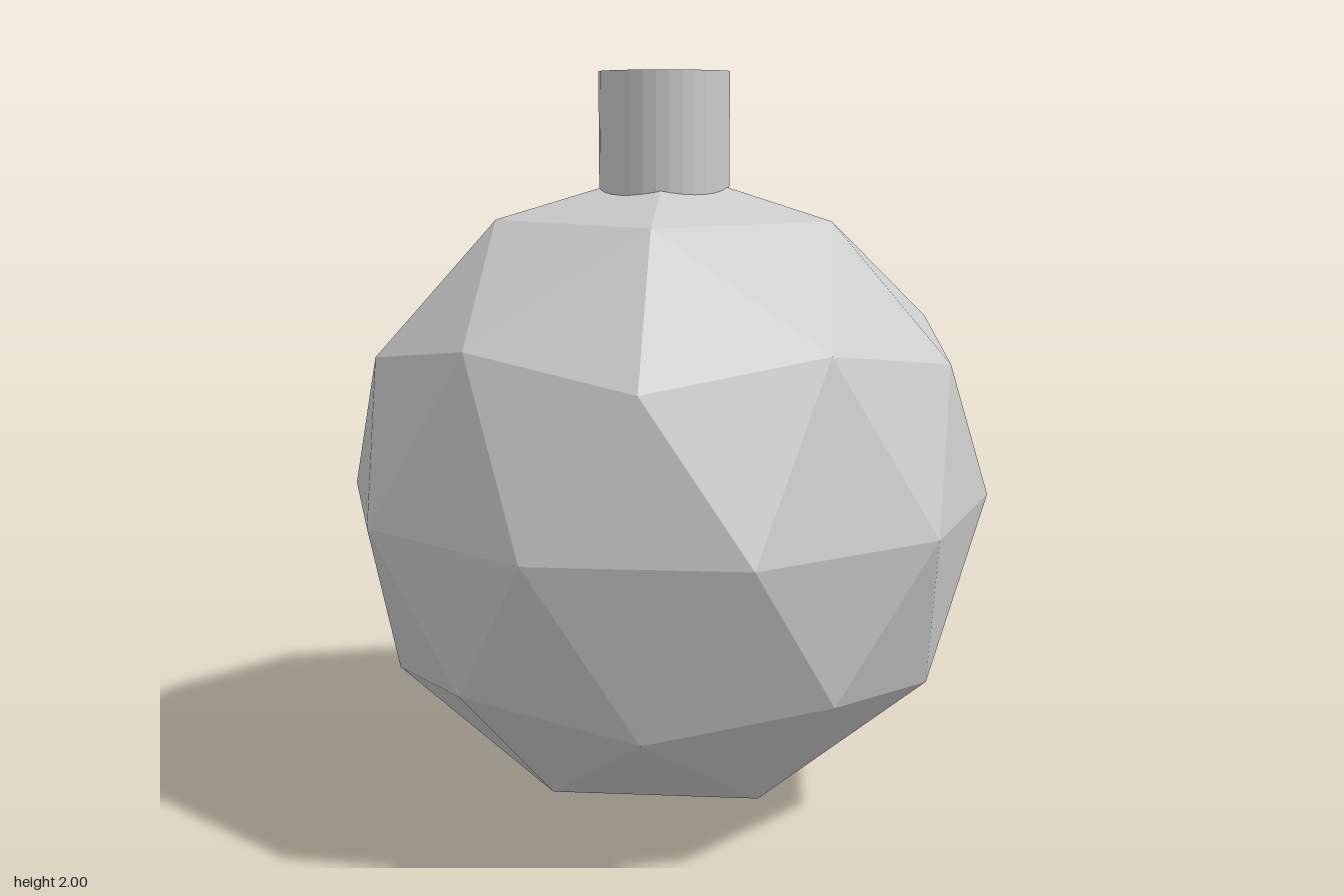
import * as THREE from 'three';

export function createModel() {
  const group = new THREE.Group();
  const material = new THREE.MeshStandardMaterial({ color: 0xcccccc, flatShading: true });
  const radius = 0.875;

  // Faceted ball: icosphere turned so a corner points straight up and one down
  const ballGeometry = new THREE.IcosahedronGeometry(radius, 1);
  ballGeometry.rotateZ(-Math.atan(2 / (1 + Math.sqrt(5))));
  ballGeometry.computeVertexNormals();
  const ball = new THREE.Mesh(ballGeometry, material);
  ball.name = 'ball';
  ball.position.y = radius;
  group.add(ball);

  // Short neck sunk into the top of the ball
  const top = 2, bottom = 1.62;
  const neck = new THREE.Mesh(
    new THREE.CylinderGeometry(0.173, 0.173, top - bottom, 32), material);
  neck.name = 'neck';
  neck.position.set(-0.015, (top + bottom) / 2, 0.004);
  group.add(neck);

  return group;
}
